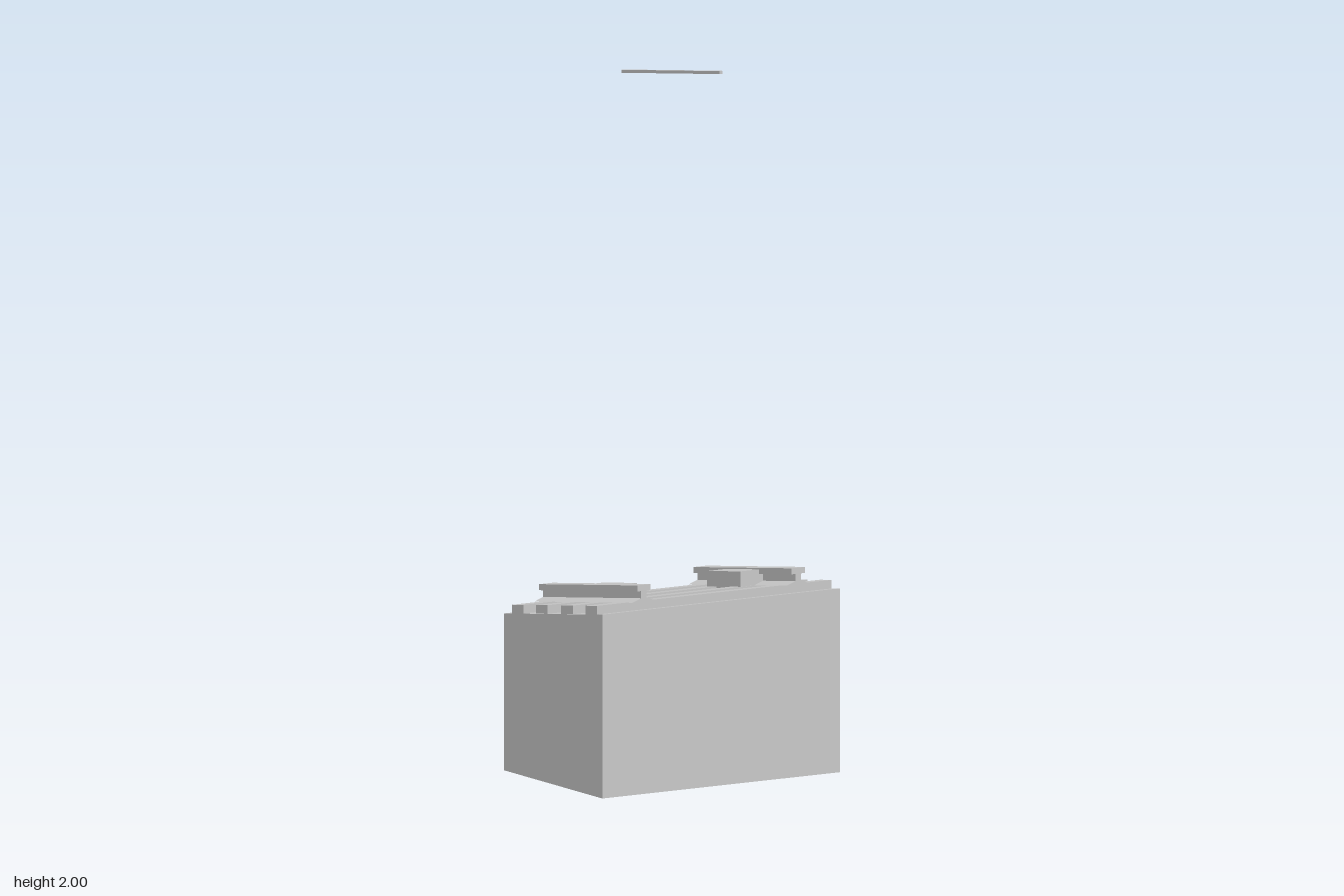
import * as THREE from 'three';

const SLOPE = 0.147;   // rise per unit of z
const BED = 0.477;     // height of the bed surface at z = 0
const HALF = 0.256;    // half the length of the section

export function createModel() {
  const group = new THREE.Group();
  const material = new THREE.MeshStandardMaterial({ color: 0xcccccc });

  // Shears a geometry along the incline; vertices on the ground stay put
  const add = (name, geometry) => {
    const p = geometry.attributes.position;
    for (let i = 0; i < p.count; i++) {
      if (p.getY(i) > 0.001) p.setY(i, p.getY(i) + SLOPE * p.getZ(i));
    }
    geometry.computeVertexNormals();
    const mesh = new THREE.Mesh(geometry, material);
    mesh.name = name;
    group.add(mesh);
  };

  // Box given by its limits on each axis
  const box = (x0, x1, y0, y1, z0, z1) =>
    new THREE.BoxGeometry(x1 - x0, y1 - y0, z1 - z0)
      .translate((x0 + x1) / 2, (y0 + y1) / 2, (z0 + z1) / 2);

  // Sloped foundation block
  add('foundation', box(-0.385, 0.385, 0, BED, -HALF, HALF));

  // Cross ties
  for (const z of [-0.1935, -0.068, 0.064, 0.19]) {
    add('sleeper', box(-0.38, 0.38, BED - 0.003, BED + 0.024, z - 0.0305, z + 0.0305));
  }

  // Rail section: tapered foot, narrow web, square head
  const half = [[0.037, 0.024], [0.009, 0.034], [0.009, 0.054], [0.0215, 0.054], [0.0215, 0.071]];
  const outline = [...half, ...half.map(([x, y]) => [-x, y]).reverse()];
  const section = new THREE.Shape(outline.map(([x, y]) => new THREE.Vector2(x, y)));

  for (const side of [-1, 1]) {
    add('rail', new THREE.ExtrudeGeometry(section, { depth: 2 * HALF, bevelEnabled: false })
      .translate(side * 0.25, BED, -HALF));

    // Block against the inner side of the rail
    const xs = [side * 0.168, side * 0.241].sort((a, b) => a - b);
    add('railBlock', box(xs[0], xs[1], BED, BED + 0.067 - 0.014, -0.088, 0.087)
      .translate(0, 0.014, 0));
  }

  // Overhead wire, parallel to the incline
  add('overheadWire', box(-0.005, 0.005, 1.954, 1.9624, -HALF, HALF));

  return group;
}
